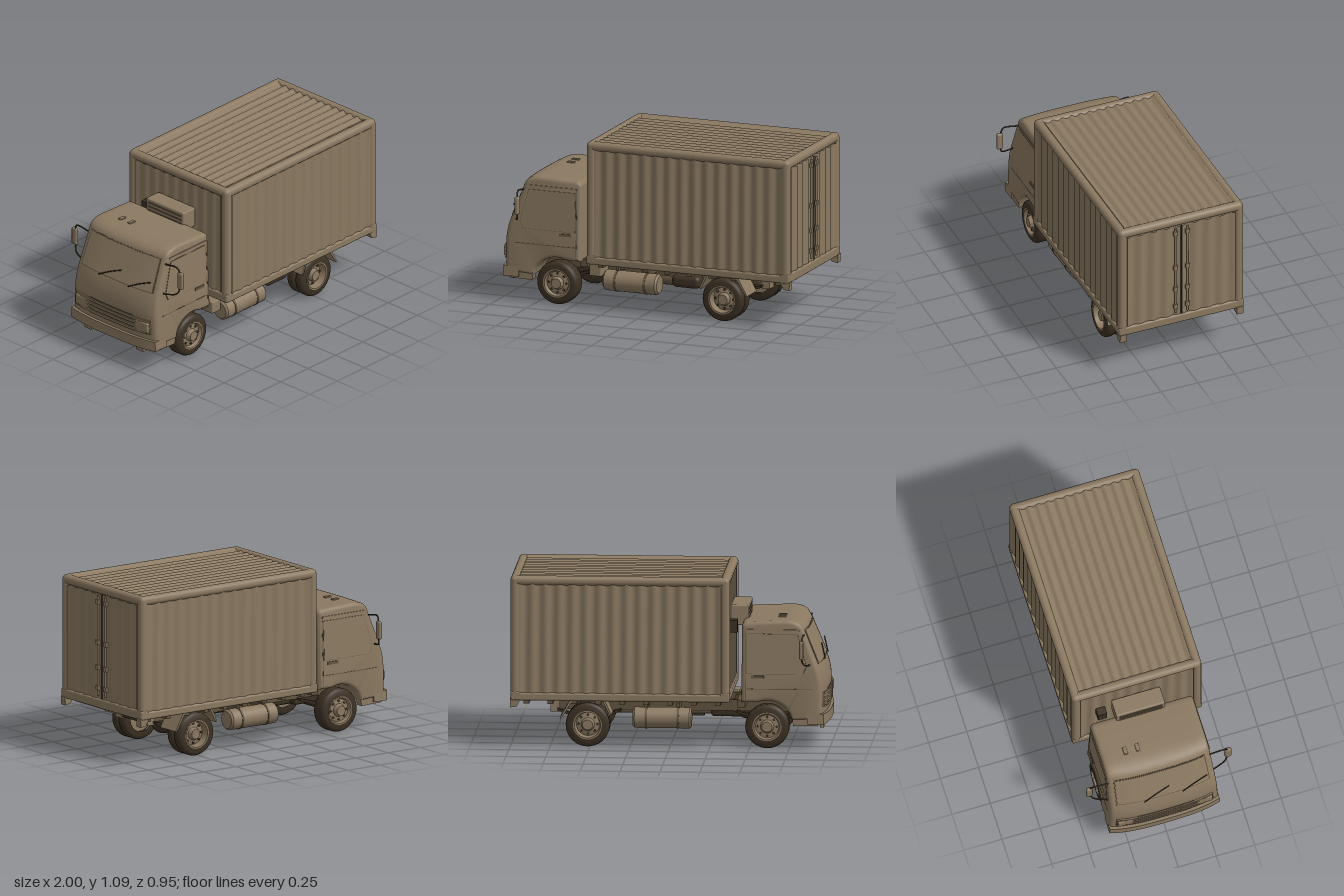
import * as THREE from 'three';
import { toCreasedNormals } from 'three/addons/utils/BufferGeometryUtils.js';
import { RoundedBoxGeometry } from 'three/addons/geometries/RoundedBoxGeometry.js';

export function createModel() {
  const truck = new THREE.Group();
  truck.name = 'boxTruck';
  const mat = (name, color) => {
    const m = new THREE.MeshStandardMaterial({ color });
    m.name = name;
    return m;
  };
  const body = mat('tanBody', 0x8b7961);
  const trim = mat('brownTrim', 0x62543f);
  const dark = mat('darkRubber', 0x3c3124);

  const add = (name, geo, material, pos = [0, 0, 0], parent = truck) => {
    const m = new THREE.Mesh(geo, material);
    m.name = name;
    m.position.set(...pos);
    parent.add(m);
    return m;
  };
  // Block given by its min and max on each axis, with optional rounded edges
  const block = (name, material, [x0, x1], [y0, y1], [z0, z1], r = 0) => add(name,
    r ? new RoundedBoxGeometry(x1 - x0, y1 - y0, z1 - z0, 3, r) : new THREE.BoxGeometry(x1 - x0, y1 - y0, z1 - z0),
    material, [(x0 + x1) / 2, (y0 + y1) / 2, (z0 + z1) / 2]);
  const rod = (name, material, r, len, axis, pos, sides = 20) => {
    const g = new THREE.CylinderGeometry(r, r, len, sides);
    if (axis === 'x') g.rotateZ(Math.PI / 2);
    if (axis === 'z') g.rotateX(Math.PI / 2);
    return add(name, g, material, pos);
  };
  const tube = (name, material, pts, r) => add(name, new THREE.TubeGeometry(
    new THREE.CatmullRomCurve3(pts.map(p => new THREE.Vector3(...p))), 16, r, 6), material);
  const polygon = pts => new THREE.Shape(pts.map(p => new THREE.Vector2(...p)));
  const extrude = (shape, z0, z1, opts = {}) => {
    const g = new THREE.ExtrudeGeometry(shape, { depth: z1 - z0, bevelEnabled: false, curveSegments: 14, ...opts });
    return g.translate(0, 0, z0);
  };

  // ---- Cargo box: solid core, rounded frame and corrugated panels ----
  block('cargoCore', body, [-0.36, 0.975], [0.31, 1.065], [-0.4, 0.4]);
  for (const s of [-1, 1]) {
    const zr = s > 0 ? [0.365, 0.425] : [-0.425, -0.365];
    block('topSideRail', body, [-0.38, 0.995], [1.03, 1.09], zr, 0.028);
    block('bottomSideRail', body, [-0.38, 0.995], [0.3, 0.35], zr, 0.012);
    for (const x of [-0.38, 0.935]) block('cornerPost', body, [x, x + 0.06], [0.3, 1.09], zr, 0.028);
    add('rearCornerFoot', extrude(polygon([[0.93, 0.31], [0.955, 0.262], [0.995, 0.255], [0.998, 0.31]]),
      s > 0 ? 0.375 : -0.42, s > 0 ? 0.42 : -0.375), body);
  }
  for (const x of [-0.38, 0.935]) {
    block('topEndRail', body, [x, x + 0.06], [1.03, 1.09], [-0.425, 0.425], 0.028);
    block('bottomEndRail', body, [x, x + 0.06], [0.3, 0.36], [-0.425, 0.425], 0.012);
  }
  const panel = (name, w, h, waves, xDir, yDir, pos) => {
    const g = new THREE.PlaneGeometry(w, h, waves * 8, 1);
    const p = g.attributes.position;
    for (let i = 0; i < p.count; i++) {
      p.setZ(i, 0.006 * Math.cos((p.getX(i) / w + 0.5) * waves * Math.PI * 2));
    }
    const X = new THREE.Vector3(...xDir), Y = new THREE.Vector3(...yDir);
    g.applyMatrix4(new THREE.Matrix4().makeBasis(X, Y, X.clone().cross(Y)));
    g.computeVertexNormals();
    add(name, g, body, pos);
  };
  panel('leftSidePanel', 1.27, 0.7, 15, [1, 0, 0], [0, 1, 0], [0.308, 0.69, 0.413]);
  panel('rightSidePanel', 1.27, 0.7, 15, [-1, 0, 0], [0, 1, 0], [0.308, 0.69, -0.413]);
  panel('roofPanel', 0.74, 1.27, 12, [0, 0, 1], [1, 0, 0], [0.308, 1.077, 0]);
  panel('bulkheadPanel', 0.74, 0.68, 9, [0, 0, 1], [0, 1, 0], [-0.368, 0.695, 0]);
  for (const s of [-1, 1]) {
    panel('rearDoor', 0.36, 0.67, 4, [0, 0, -1], [0, 1, 0], [0.983, 0.695, s * 0.187]);
    rod('doorLockBar', body, 0.007, 0.64, 'y', [0.99, 0.7, s * 0.04], 10);
    for (const y of [0.43, 0.56, 0.72, 0.98]) {
      block('lockBarClamp', body, [0.982, 0.998], [y - 0.015, y + 0.015], [s * 0.04 - 0.014, s * 0.04 + 0.014]);
    }
  }
  block('doorGap', dark, [0.985, 0.992], [0.365, 1.03], [-0.004, 0.004]);
  for (let i = 0; i < 9; i++) {
    const x = -0.32 + i * 0.15;
    block('floorCrossBeam', trim, [x, x + 0.035], [0.272, 0.312], [-0.37, 0.37]);
  }

  // ---- Cooling unit on the bulkhead ----
  block('coolingUnit', body, [-0.485, -0.37], [0.75, 0.88], [-0.17, 0.15], 0.01);
  for (let i = 0; i < 4; i++) block('coolingSlat', trim, [-0.488, -0.482], [0.77 + i * 0.026, 0.779 + i * 0.026], [-0.15, 0.13]);
  block('bulkheadBox', dark, [-0.42, -0.37], [0.72, 0.8], [-0.27, -0.21]);

  // ---- Cab: side profile swept across, narrowed upwards, nose bowed in plan ----
  const warp = g => {
    const p = g.attributes.position;
    for (let i = 0; i < p.count; i++) {
      const x = p.getX(i), y = p.getY(i), z = p.getZ(i);
      const nose = THREE.MathUtils.clamp((-0.75 - x) / 0.15, 0, 1);
      p.setX(i, x + 0.035 * nose * Math.pow(Math.abs(z) / 0.36, 3));
      p.setZ(i, z * (1 - 0.12 * (y - 0.2)));
    }
    g.computeVertexNormals();
    return toCreasedNormals(g, 0.6);
  };
  const cab = new THREE.Shape();
  cab.moveTo(-0.45, 0.29);
  cab.lineTo(-0.45, 0.765);
  cab.quadraticCurveTo(-0.45, 0.798, -0.49, 0.8);
  cab.lineTo(-0.72, 0.81);
  cab.quadraticCurveTo(-0.835, 0.81, -0.858, 0.755);
  cab.lineTo(-0.955, 0.53);
  cab.quadraticCurveTo(-0.985, 0.45, -0.985, 0.38);
  cab.lineTo(-0.98, 0.19);
  cab.lineTo(-0.77, 0.18);
  cab.absarc(-0.61, 0.138, 0.165, 2.88, 1.19, true);
  add('cab', warp(extrude(cab, -0.335, 0.335, {
    steps: 14, bevelEnabled: true, bevelThickness: 0.025, bevelSize: 0.025, bevelOffset: -0.025, bevelSegments: 4,
  })), body);

  // Windscreen and its seal lie along the sloped front
  const slope = (a, b, out) => {
    const at = (t, o) => [-0.858 - 0.097 * t - 0.918 * o, 0.755 - 0.225 * t + 0.396 * o];
    return polygon([at(a, -0.004), at(b, -0.004), at(b, out), at(a, out)]);
  };
  add('windscreenSeal', warp(extrude(slope(0.02, 0.98, 0.002), -0.32, 0.32, { steps: 14 })), trim);
  add('windscreen', warp(extrude(slope(0.05, 0.95, 0.004), -0.312, 0.312, { steps: 14 })), body);
  for (const z of [-0.13, 0.12]) {
    tube('wiper', dark, [[-0.962, 0.535, z], [-0.945, 0.575, z + 0.08], [-0.927, 0.61, z + 0.17]], 0.004);
  }

  // Door seams, side windows and handles on both flanks
  const win = [[-0.485, 0.475], [-0.485, 0.725], [-0.815, 0.725], [-0.89, 0.52], [-0.86, 0.475]];
  const grow = (pts, k) => pts.map(([x, y]) => [-0.69 + (x + 0.69) * k, 0.6 + (y - 0.6) * k]);
  for (const s of [-1, 1]) {
    const plate = (name, pts, t, m) => add(name, warp(extrude(polygon(pts), s > 0 ? 0.356 : -0.36 - t, s > 0 ? 0.36 + t : -0.356)), m);
    plate('sideWindowSeal', grow(win, 1.02), 0.001, trim);
    plate('sideWindow', win, 0.003, body);
    plate('doorSeam', [[-0.478, 0.31], [-0.474, 0.31], [-0.474, 0.75], [-0.478, 0.75]], 0.001, trim);
    plate('rainGutter', [[-0.48, 0.745], [-0.48, 0.755], [-0.825, 0.755], [-0.832, 0.745]], 0.006, body);
    plate('beltLine', [[-0.475, 0.375], [-0.475, 0.38], [-0.93, 0.38], [-0.93, 0.375]], 0.001, trim);
    plate('doorHandle', [[-0.59, 0.445], [-0.59, 0.463], [-0.51, 0.463], [-0.51, 0.445]], 0.006, trim);
    // Mirrors on two bent arms
    block('mirror', body, [-0.845, -0.82], [0.585, 0.7], s > 0 ? [0.432, 0.475] : [-0.475, -0.432], 0.01);
    tube('mirrorUpperArm', dark, [[-0.84, 0.72, s * 0.33], [-0.84, 0.73, s * 0.425], [-0.835, 0.71, s * 0.443], [-0.833, 0.68, s * 0.446]], 0.005);
    tube('mirrorLowerArm', dark, [[-0.88, 0.53, s * 0.335], [-0.85, 0.545, s * 0.425], [-0.838, 0.565, s * 0.443], [-0.833, 0.6, s * 0.446]], 0.005);
    // Headlamps, lower steps and bumper tabs
    block('headlamp', body, [-0.985, -0.95], [0.275, 0.345], s > 0 ? [0.2, 0.31] : [-0.31, -0.2], 0.01);
    block('bumperTab', body, [-0.96, -0.935], [0.12, 0.175], s > 0 ? [0.19, 0.25] : [-0.25, -0.19]);
    add('lowerSkirt', extrude(polygon([[-0.93, 0.15], [-0.775, 0.145], [-0.765, 0.2], [-0.93, 0.22]]),
      s > 0 ? 0.3 : -0.35, s > 0 ? 0.35 : -0.3), body);
  }
  // Grille slats and wrapped bumper
  const strip = (x0, x1, y0, y1) => polygon([[x0, y0], [x1, y0], [x1, y1], [x0, y1]]);
  for (let i = 0; i < 4; i++) {
    const y = 0.265 + i * 0.026;
    add('grilleSlat', warp(extrude(strip(-0.994, -0.96, y, y + 0.015), -0.32, 0.32, { steps: 14 })), body);
  }
  add('grilleRecess', warp(extrude(strip(-0.987, -0.96, 0.255, 0.365), -0.19, 0.19, { steps: 10 })), trim);
  add('bumper', warp(extrude(strip(-1, -0.895, 0.16, 0.225), -0.36, 0.36, { steps: 14 })), body);
  for (const z of [-0.04, 0.04]) block('roofLamp', body, [-0.72, -0.67], [0.8, 0.817], [z - 0.15, z - 0.125], 0.004);

  // ---- Wheels ----
  const lathe = (pts, n = 36) => toCreasedNormals(
    new THREE.LatheGeometry(pts.map(p => new THREE.Vector2(...p)), n).rotateX(Math.PI / 2), 0.6);
  const tyre = w => lathe([[0.086, -w], [0.118, -w], [0.132, -w + 0.008], [0.138, -w + 0.02],
    [0.138, w - 0.02], [0.132, w - 0.008], [0.118, w], [0.086, w]]);
  const rim = (w, dish, hub) => lathe([[0, 0.02 - w], [0.088, 0.02 - w], [0.091, w + 0.002], [0.082, w + 0.002],
    [0.073, w - dish], [0.042, w - dish * 0.8], [0.032, w - dish + hub], [0, w - dish + hub]]);
  const wheel = (name, x, s, rear) => {
    const g = new THREE.Group();
    g.name = name;
    g.position.set(x, 0.138, s * 0.29);
    if (s < 0) g.rotation.y = Math.PI;
    truck.add(g);
    if (rear) for (const z of [-0.034, 0.036]) add('tyre', tyre(0.034), dark, [0, 0, z], g);
    else add('tyre', tyre(0.053), dark, [0, 0, 0.005], g);
    const w = rear ? 0.07 : 0.058, dish = rear ? 0.045 : 0.02;
    add('rim', rim(w, dish, rear ? 0.035 : 0.03), body, [0, 0, 0], g);
    for (let i = 0; i < 8; i++) {
      const a = i * Math.PI / 4;
      add('rimHole', new THREE.CylinderGeometry(0.008, 0.008, 0.008, 10).rotateX(Math.PI / 2), dark,
        [0.06 * Math.cos(a), 0.06 * Math.sin(a), w - dish * 0.88], g);
    }
  };
  for (const s of [-1, 1]) {
    wheel('frontWheel', -0.61, s, false);
    wheel('rearWheel', 0.515, s, true);
    // Angular rear mudguard
    const zr = s > 0 ? [0.21, 0.37] : [-0.37, -0.21];
    add('rearMudguard', extrude(polygon([[0.365, 0.205], [0.41, 0.305], [0.62, 0.305], [0.69, 0.18],
      [0.68, 0.177], [0.61, 0.29], [0.42, 0.29], [0.375, 0.2]]), ...zr), body);
  }

  // ---- Chassis and running gear ----
  for (const s of [-1, 1]) {
    block('chassisRail', trim, [-0.9, 0.75], [0.205, 0.275], s > 0 ? [0.12, 0.155] : [-0.155, -0.12]);
    for (const x of [-0.61, 0.515]) {
      add('leafSpring', extrude(polygon([[x - 0.2, 0.215], [x, 0.155], [x + 0.2, 0.215], [x + 0.2, 0.2], [x, 0.13], [x - 0.2, 0.2]]),
        s * 0.18 - 0.02, s * 0.18 + 0.02), dark);
    }
    block('rearLamp', body, [0.7, 0.76], [0.19, 0.26], s > 0 ? [0.1, 0.17] : [-0.17, -0.1]);
  }
  for (const x of [-0.42, -0.1, 0.2, 0.4, 0.72]) block('chassisCrossMember', dark, [x, x + 0.035], [0.2, 0.265], [-0.15, 0.15]);
  rod('frontAxle', dark, 0.025, 0.52, 'z', [-0.61, 0.138, 0]);
  rod('rearAxle', dark, 0.033, 0.48, 'z', [0.515, 0.145, 0]);
  const diff = add('differential', new THREE.SphereGeometry(0.065, 20, 14), dark, [0.515, 0.145, 0]);
  diff.scale.set(1, 0.95, 1.35);
  rod('driveShaft', trim, 0.016, 0.75, 'x', [0.12, 0.175, 0]);
  block('engine', dark, [-0.82, -0.43], [0.15, 0.33], [-0.11, 0.11], 0.02);
  block('gearbox', dark, [-0.45, -0.24], [0.15, 0.25], [-0.06, 0.06], 0.02);
  rod('silencer', trim, 0.038, 0.28, 'x', [-0.05, 0.17, 0.08]);
  tube('exhaustPipe', trim, [[0.08, 0.18, 0.08], [0.3, 0.23, 0.07], [0.55, 0.25, 0.06], [0.74, 0.22, 0.08]], 0.014);

  // Side tanks with straps
  for (const [z, x] of [[0.29, -0.118], [-0.29, 0.05]]) {
    const L = 0.184, r = 0.066;
    const g = lathe([[0, -L], [r - 0.012, -L], [r, -L + 0.012], [r, L - 0.012], [r - 0.012, L], [0, L]], 28);
    add('sideTank', g.rotateY(Math.PI / 2), body, [x, 0.18, z]);
    for (const d of [-0.1, 0.1]) {
      rod('tankStrap', trim, r + 0.003, 0.014, 'x', [x + d, 0.18, z], 28);
      block('tankBracket', trim, [x + d - 0.01, x + d + 0.01], [0.225, 0.275], z > 0 ? [0.14, 0.3] : [-0.3, -0.14]);
    }
  }
  block('batteryBox', body, [-0.4, -0.32], [0.2, 0.28], [0.19, 0.32], 0.008);
  block('airReservoir', dark, [0.14, 0.33], [0.17, 0.25], [0.19, 0.29], 0.03);
  block('cabMountBeam', trim, [-0.47, -0.42], [0.25, 0.3], [-0.3, 0.3]);
  return truck;
}
